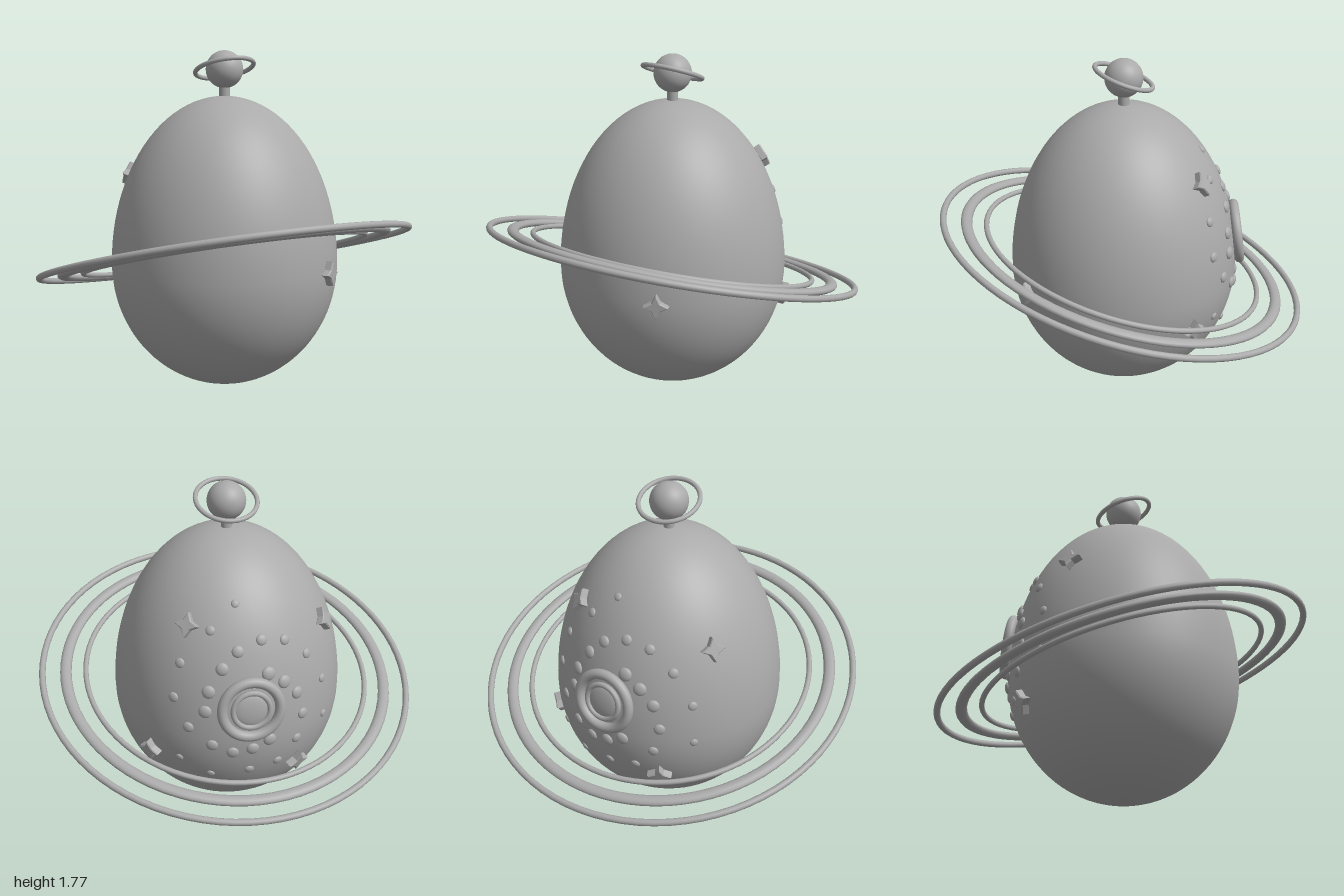
import * as THREE from 'three';

const EGG_R = 0.6, WAIST = 0.65, TOP = 1.535;

// Egg radius at height y: two half ellipses joined at the waist
function eggRadius(y) {
  const t = (y - WAIST) / (y > WAIST ? TOP - WAIST : WAIST);
  return EGG_R * Math.sqrt(Math.max(0, 1 - t * t));
}

// Put an object on the egg with its +z along the surface normal
function place(obj, x, y, side = -1, lift = 0) {
  const r = eggRadius(y);
  const z = side * Math.sqrt(Math.max(0, r * r - x * x));
  const h = y > WAIST ? TOP - WAIST : WAIST;
  const n = new THREE.Vector3(x / EGG_R ** 2, (y - WAIST) / h ** 2, z / EGG_R ** 2).normalize();
  obj.position.set(x, y, z).addScaledVector(n, lift);
  obj.lookAt(obj.position.clone().add(n));
  return obj;
}

// Four-pointed star plate
function starGeometry() {
  const shape = new THREE.Shape();
  for (let i = 0; i < 8; i++) {
    const a = (i * Math.PI) / 4, r = i % 2 ? 0.026 : 0.056;
    if (i) shape.lineTo(r * Math.sin(a), r * Math.cos(a));
    else shape.moveTo(0, r);
  }
  shape.closePath();
  return new THREE.ExtrudeGeometry(shape, {
    depth: 0.03, bevelEnabled: true, bevelSize: 0.005, bevelThickness: 0.006, bevelSegments: 1,
  });
}

export function createModel() {
  const model = new THREE.Group();
  model.name = 'ringedEgg';
  const grey = new THREE.MeshStandardMaterial({ color: 0xaaaaaa });
  grey.name = 'grey';

  const mesh = (name, geometry, parent = model) => {
    const m = new THREE.Mesh(geometry, grey);
    m.name = name;
    parent.add(m);
    return m;
  };

  // Egg body
  const profile = [];
  for (let i = 0; i <= 48; i++) {
    const a = -Math.PI / 2 + (i / 48) * Math.PI;
    const h = a > 0 ? TOP - WAIST : WAIST;
    profile.push(new THREE.Vector2(Math.max(0, EGG_R * Math.cos(a)), WAIST + h * Math.sin(a)));
  }
  mesh('eggBody', new THREE.LatheGeometry(profile, 64));

  // Tilted set of flat rings
  const ringSet = (name, y, tilt, roll, rings) => {
    const g = new THREE.Group();
    g.name = name;
    g.position.y = y;
    g.rotation.set(-tilt, 0, roll);
    for (const [ringName, radius, tube, flat] of rings) {
      const ring = mesh(ringName, new THREE.TorusGeometry(radius, tube, 12, 80), g);
      ring.rotation.x = Math.PI / 2;
      ring.scale.z = flat;
    }
    model.add(g);
  };
  ringSet('planetRings', 0.69, 0.28, 0.04, [
    ['innerRing', 0.755, 0.014, 1],
    ['middleRing', 0.86, 0.03, 0.65],
    ['outerRing', 0.983, 0.017, 1],
  ]);

  // Finial: stem, ball and little ring
  mesh('finialStem', new THREE.CylinderGeometry(0.028, 0.028, 0.1, 24)).position.y = 1.56;
  mesh('finialBall', new THREE.SphereGeometry(0.098, 32, 24)).position.y = 1.672;
  ringSet('finialRing', 1.677, 0.35, 0.04, [['smallRing', 0.154, 0.012, 1]]);

  // Crater on the back
  const crater = new THREE.Group();
  crater.name = 'crater';
  mesh('craterRim', new THREE.TorusGeometry(0.145, 0.026, 14, 48), crater);
  mesh('craterInnerRim', new THREE.TorusGeometry(0.092, 0.014, 10, 40), crater).position.z = 0.008;
  mesh('craterDome', new THREE.SphereGeometry(0.088, 32, 16), crater).scale.z = 0.25;
  model.add(place(crater, 0, 0.825, -1, 0.012));

  // Bumps scattered round the crater, as [x, y]
  const bumps = [
    [-0.095, 0.99], [-0.176, 0.93], [-0.246, 0.85], [-0.28, 0.72], [-0.098, 0.63], [-0.01, 0.59],
    [0.09, 0.575], [0.19, 0.62], [0.2, 0.915], [0.22, 0.81], [0.13, 1.03], [0.05, 1.11],
    [-0.07, 1.15], [-0.19, 1.125], [-0.31, 1.02], [-0.405, 0.846], [-0.42, 0.631], [-0.25, 0.58],
    [-0.15, 0.464], [0, 0.44], [0.19, 0.41], [0.17, 1.2], [0.04, 1.31], [0.32, 1.035],
    [0.36, 0.858], [0.3, 0.71], [0.34, 0.5],
  ];
  const bumpGeometry = new THREE.SphereGeometry(1, 18, 12);
  for (const [x, y] of bumps) {
    const far = Math.hypot(x, y - 0.825);
    const size = THREE.MathUtils.clamp(0.045 - far * 0.052, 0.02, 0.036);
    const bump = place(mesh('bump', bumpGeometry), x, y);
    bump.scale.set(size, size, size * 0.5);
  }

  // Stars, as [x, y, front or back]
  const star = starGeometry();
  for (const [x, y, side] of [
    [0.37, 0.65, 1], [0.265, 1.21, -1], [-0.425, 1.11, -1], [0.46, 0.5, -1], [-0.26, 0.42, -1],
  ]) place(mesh('star', star), x, y, side);

  return model;
}
